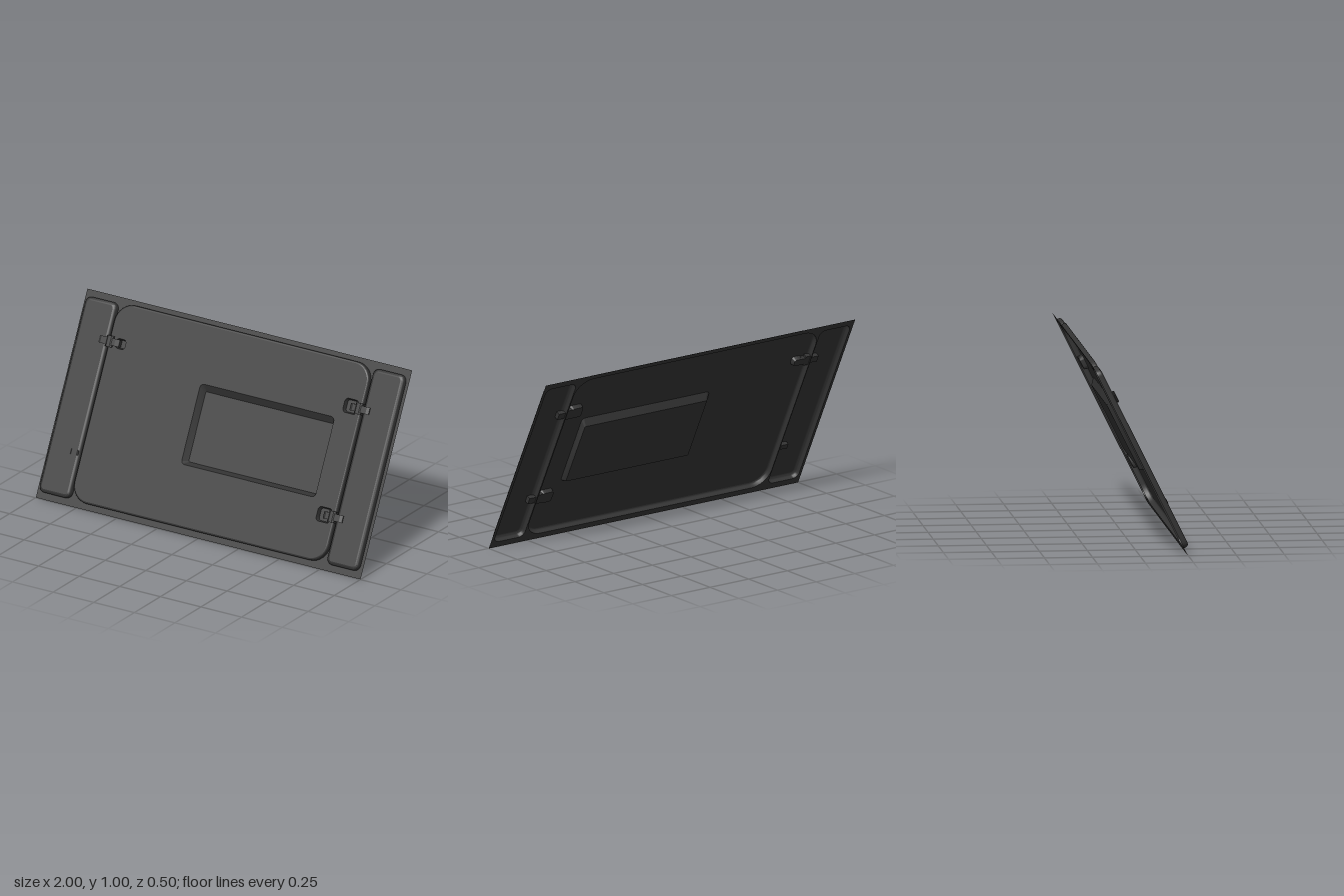
import * as THREE from 'three';
import { toCreasedNormals } from 'three/addons/utils/BufferGeometryUtils.js';

const material = new THREE.MeshStandardMaterial({ color: 0x333333, side: THREE.DoubleSide });

// rectangle in the plate's own plane: left, right, bottom, top, corner radius
const rect = (x0, x1, y0, y1, r) => ({ x0, x1, y0, y1, r });
const inset = (a, d) => rect(a.x0 + d, a.x1 - d, a.y0 + d, a.y1 - d, Math.max(a.r - d, 0.004));

// counter-clockwise outline with the same number of points for every rectangle
function outline({ x0, x1, y0, y1, r }) {
  const points = [], steps = 8;
  const corners = [[x1 - r, y0 + r], [x1 - r, y1 - r], [x0 + r, y1 - r], [x0 + r, y0 + r]];
  corners.forEach(([cx, cy], c) => {
    for (let i = 0; i <= steps; i++) {
      const a = (c - 1 + i / steps) * Math.PI / 2;
      points.push(new THREE.Vector2(cx + r * Math.cos(a), cy + r * Math.sin(a)));
    }
  });
  return points;
}

// flat face at height h, with optional openings
function sheet(name, shapeRect, h, holes = []) {
  const shape = new THREE.Shape(outline(shapeRect));
  holes.forEach(hole => shape.holes.push(new THREE.Path(outline(hole).reverse())));
  const mesh = new THREE.Mesh(new THREE.ShapeGeometry(shape), material);
  mesh.position.z = h;
  mesh.name = name;
  return mesh;
}

// wall joining a series of [rectangle, height] outlines
function wall(name, sections) {
  const positions = [], index = [];
  const loops = sections.map(([r]) => outline(r));
  const n = loops[0].length;
  loops.forEach((loop, k) => loop.forEach(p => positions.push(p.x, p.y, sections[k][1])));
  for (let k = 0; k < loops.length - 1; k++) {
    for (let i = 0; i < n; i++) {
      const j = (i + 1) % n, a = k * n, b = a + n;
      index.push(a + i, a + j, b + j, a + i, b + j, b + i);
    }
  }
  const geometry = new THREE.BufferGeometry();
  geometry.setAttribute('position', new THREE.Float32BufferAttribute(positions, 3));
  geometry.setIndex(index);
  const mesh = new THREE.Mesh(toCreasedNormals(geometry, 0.7), material);
  mesh.name = name;
  return mesh;
}

// raised tray, open underneath, with a rounded upper edge
function raised(name, base, h, bevel, holes) {
  const group = new THREE.Group();
  group.name = name;
  const sections = [[base, 0]];
  for (let i = 0; i <= 4; i++) {
    const a = i / 4 * Math.PI / 2;
    sections.push([inset(base, bevel * (1 - Math.cos(a))), h - bevel * (1 - Math.sin(a))]);
  }
  group.add(wall(name + 'Side', sections), sheet(name + 'Top', inset(base, bevel), h, holes));
  return group;
}

// sunken pocket with sloping walls
function recess(name, rim, floor, top, bottom) {
  const group = new THREE.Group();
  group.name = name;
  group.add(wall(name + 'Wall', [[rim, top], [floor, bottom]]), sheet(name + 'Floor', floor, bottom));
  return group;
}

// side profile (x, height) extruded across the plate
function strap(name, profile, y, width) {
  const shape = new THREE.Shape(profile.map(p => new THREE.Vector2(...p)));
  const geometry = new THREE.ExtrudeGeometry(shape, { depth: width, bevelEnabled: false });
  geometry.rotateX(Math.PI / 2);
  const mesh = new THREE.Mesh(geometry, material);
  mesh.position.y = y + width / 2;
  mesh.name = name;
  return mesh;
}

export function createModel() {
  const model = new THREE.Group();
  model.name = 'hatchPanel';
  const plate = new THREE.Group();
  plate.name = 'leaningPlate';
  plate.position.y = 0.5;
  plate.rotation.x = -0.46;
  model.add(plate);

  const H = 0.03;
  const panel = rect(-0.785, 0.78, -0.525, 0.533, 0.1);
  const bars = [rect(-0.985, -0.79, -0.522, 0.523, 0.035), rect(0.787, 0.982, -0.522, 0.523, 0.035)];
  const window_ = rect(-0.19, 0.635, -0.204, 0.225, 0.022);
  const windowFloor = rect(-0.165, 0.625, -0.184, 0.19, 0.008);
  const pockets = [
    rect(0.67, 0.755, 0.262, 0.338, 0.02),
    rect(0.67, 0.755, -0.318, -0.24, 0.02),
    rect(-0.74, -0.682, 0.295, 0.348, 0.018),
  ];

  // thin backing sheet, visible as border and seams
  plate.add(sheet('border', rect(-1, 1, -0.558, 0.558, 0.001), 0, [panel, ...bars]));

  // main door and the two side bars
  plate.add(raised('door', panel, H, 0.01, [window_, ...pockets]));
  bars.forEach((bar, i) => plate.add(raised(i ? 'leftBar' : 'rightBar', bar, H, 0.018, [])));

  // sunken window and latch pockets
  plate.add(recess('window', window_, windowFloor, H, 0.001));
  pockets.forEach(p => plate.add(recess('latchPocket', p, inset(p, 0.006), H, 0.006)));

  // latches bridging the seams between door and bars
  const arm = [[0.71, 0.006], [0.83, 0.006], [0.83, 0.036], [0.815, 0.043], [0.73, 0.043], [0.71, 0.03]];
  const knuckle = [[0.745, 0.006], [0.785, 0.006], [0.785, 0.04], [0.775, 0.047], [0.755, 0.047], [0.745, 0.04]];
  [[1, 0.298, 0], [1, -0.279, 0], [-1, 0.322, 0.01]].forEach(([side, y, shift]) => {
    const latch = new THREE.Group();
    latch.name = 'latch';
    const place = ([x, h]) => [side * (x + shift), h];
    latch.add(strap('latchArm', arm.map(place), y, 0.038));
    latch.add(strap('latchKnuckle', knuckle.map(place), y, 0.06));
    plate.add(latch);
  });

  // small catch on the right bar
  plate.add(strap('catch', [[-0.845, 0.006], [-0.8, 0.006], [-0.8, 0.032], [-0.805, 0.036], [-0.84, 0.036], [-0.845, 0.032]], -0.28, 0.028));

  return model;
}
